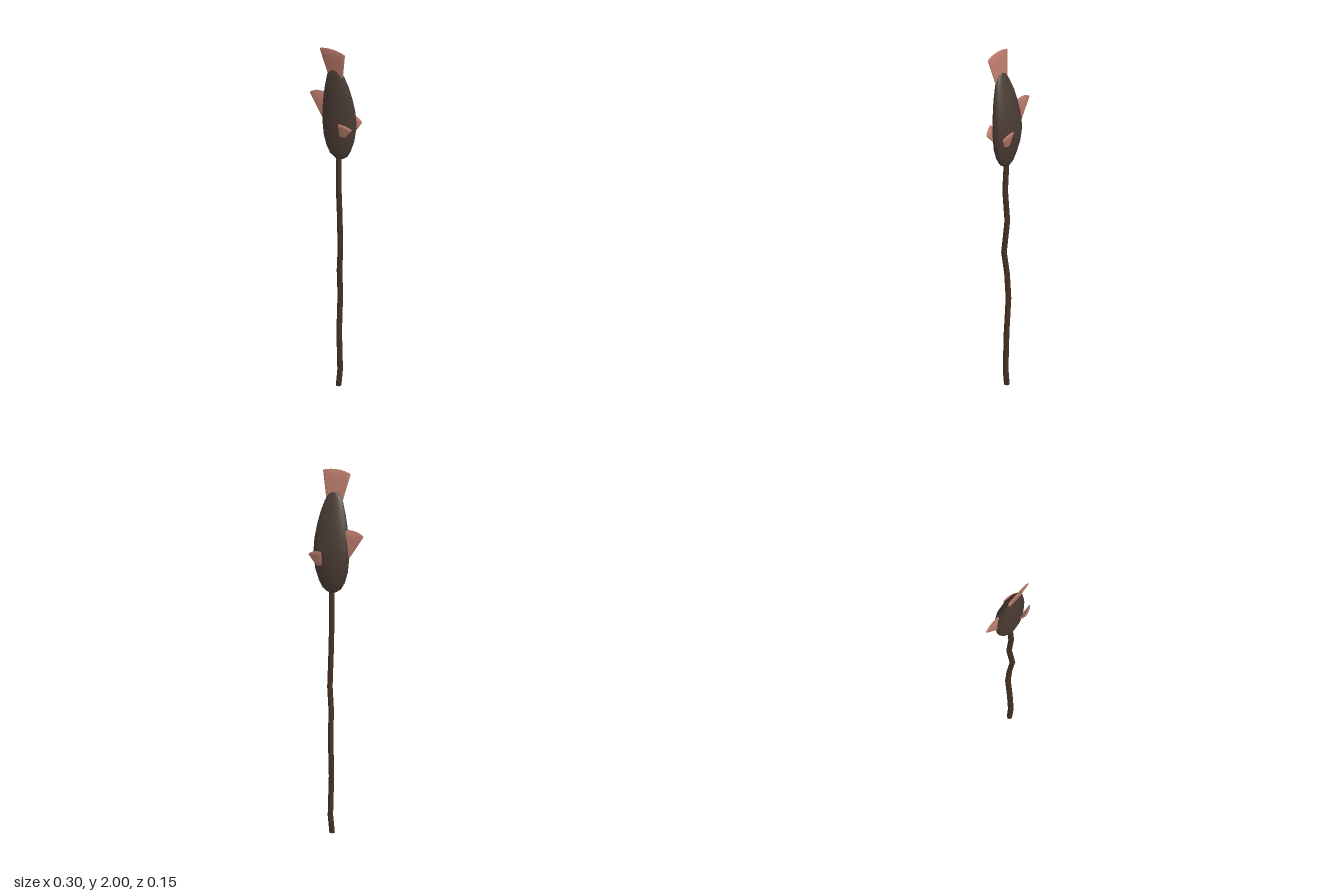
import * as THREE from 'three';
import { toCreasedNormals } from 'three/addons/utils/BufferGeometryUtils.js';

const V = (x, y, z) => new THREE.Vector3(x, y, z);

// Skin a list of closed rings (equal point counts) and cap both ends.
function loft(rings) {
  const n = rings[0].length, pos = [], idx = [];
  for (const ring of rings) for (const p of ring) pos.push(p.x, p.y, p.z);
  for (let i = 0; i < rings.length - 1; i++) {
    for (let j = 0; j < n; j++) {
      const a = i * n + j, b = i * n + (j + 1) % n;
      idx.push(a, b, a + n, b, b + n, a + n);
    }
  }
  for (const i of [0, rings.length - 1]) {
    const c = rings[i].reduce((s, p) => s.add(p), V(0, 0, 0)).divideScalar(n);
    const k = pos.length / 3;
    pos.push(c.x, c.y, c.z);
    for (let j = 0; j < n; j++) {
      const a = i * n + j, b = i * n + (j + 1) % n;
      if (i === 0) idx.push(k, b, a); else idx.push(k, a, b);
    }
  }
  const g = new THREE.BufferGeometry();
  g.setAttribute('position', new THREE.Float32BufferAttribute(pos, 3));
  g.setIndex(idx);
  g.computeVertexNormals();
  return g;
}

// Horizontal ellipse around (x, y, z)
function ellipse(x, y, z, rx, rz, n) {
  return Array.from({ length: n }, (_, j) => {
    const a = j / n * Math.PI * 2;
    return V(x + rx * Math.sin(a), y, z + rz * Math.cos(a));
  });
}

// Thin fan from base edge a-b to tip edge d-c, with an arched, rounded tip
function finGeometry(a, b, c, d, thick, bulge) {
  const dir = c.clone().add(d).sub(a).sub(b).normalize();
  const normal = dir.clone().cross(b.clone().sub(a)).normalize();
  const n = 24, rings = [];
  for (const [t, s] of [[0, 1], [0.35, 1], [0.7, 1], [0.96, 1], [1, 0.6]]) {
    const A = a.clone().lerp(d, t), B = b.clone().lerp(c, t);
    const mid = A.clone().add(B).multiplyScalar(0.5);
    const half = B.sub(A).multiplyScalar(0.5);
    rings.push(Array.from({ length: n }, (_, j) => {
      const q = j / n * Math.PI * 2, u = Math.cos(q), w = Math.sin(q);
      return mid.clone().addScaledVector(half, u)
        .addScaledVector(normal, Math.sign(w) * Math.abs(w) ** 0.4 * thick / 2 * s)
        .addScaledVector(dir, bulge * t * (1 - u * u));
    }));
  }
  return toCreasedNormals(loft(rings), 0.8);
}

export function createModel() {
  const group = new THREE.Group();
  const skin = new THREE.MeshStandardMaterial({ color: 0x4a3b33 });
  const finMat = new THREE.MeshStandardMaterial({ color: 0xb97a6b });
  const wood = new THREE.MeshStandardMaterial({ color: 0x453022 });
  const add = (name, geometry, material) => {
    const mesh = new THREE.Mesh(geometry, material);
    mesh.name = name;
    group.add(mesh);
  };

  // Fish body, head down: y, half width, half depth, centre z
  const body = [
    [1.34, 0.026, 0.014, 0], [1.36, 0.054, 0.025, 0], [1.4, 0.077, 0.035, 0],
    [1.46, 0.096, 0.046, -0.003], [1.54, 0.106, 0.052, -0.006],
    [1.62, 0.102, 0.05, -0.001], [1.7, 0.09, 0.043, 0.008],
    [1.77, 0.074, 0.034, 0.017], [1.83, 0.055, 0.022, 0.027],
    [1.865, 0.036, 0.014, 0.033], [1.88, 0.015, 0.007, 0.035],
  ];
  add('body', loft(body.map(([y, rx, rz, z]) => ellipse(0.035, y, z, rx, rz, 12))), skin);

  // Crooked stick held up to the mouth: x, y, z
  const path = [
    [0.033, 0.004, 0], [0.043, 0.1, 0], [0.036, 0.32, -0.001], [0.035, 0.53, -0.013],
    [0.036, 0.68, -0.004], [0.049, 0.81, 0.006], [0.036, 1.0, -0.006],
    [0.038, 1.18, 0.007], [0.034, 1.37, 0],
  ];
  add('stick', loft(path.map(([x, y, z]) => ellipse(x, y, z, 0.015, 0.015, 8))), wood);

  // Fins
  add('tailFin', finGeometry(V(-0.008, 1.82, 0.03), V(0.08, 1.82, 0.03),
    V(0.117, 1.985, 0.06), V(-0.046, 1.985, 0.06), 0.013, 0.014), finMat);
  add('dorsalFin', finGeometry(V(-0.05, 1.51, -0.004), V(-0.01, 1.55, -0.004),
    V(-0.05, 1.695, -0.004), V(-0.154, 1.672, -0.002), 0.013, 0.012), finMat);
  add('frontSideFin', finGeometry(V(0.068, 1.495, 0.04), V(0.1, 1.492, 0.034),
    V(0.148, 1.547, 0.042), V(0.078, 1.575, 0.07), 0.012, 0.008), finMat);
  add('backSideFin', finGeometry(V(0.07, 1.495, -0.048), V(0.105, 1.492, -0.042),
    V(0.142, 1.552, -0.06), V(0.063, 1.575, -0.07), 0.012, 0.008), finMat);

  return group;
}
